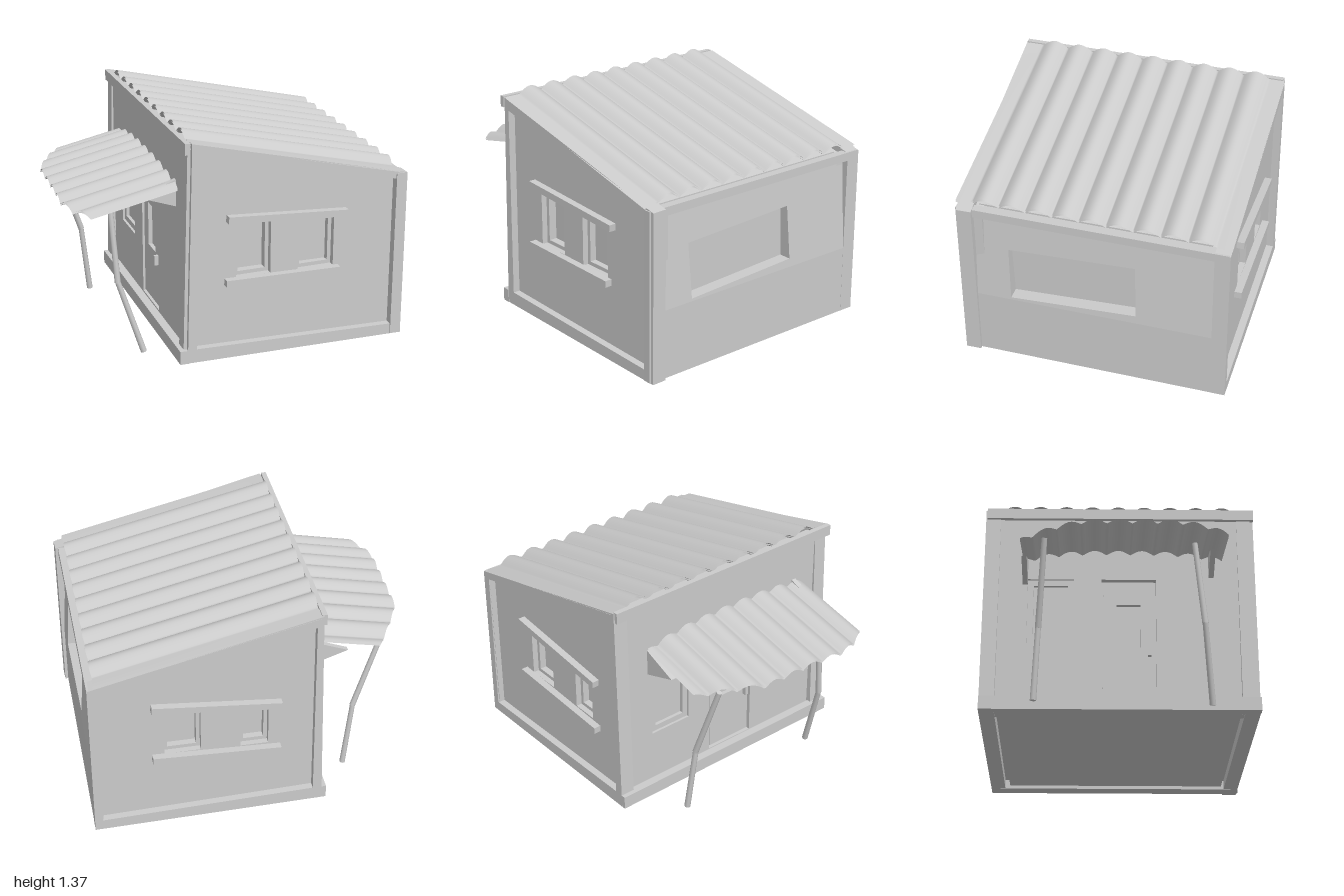
import * as THREE from 'three';

const mat = new THREE.MeshStandardMaterial({ color: 0xcccccc });
const sheetMat = new THREE.MeshStandardMaterial({ color: 0xcccccc, side: THREE.DoubleSide });

export function createModel() {
  const root = new THREE.Group();
  const house = new THREE.Group();
  house.name = 'house';
  house.position.x = 0.26;
  house.rotation.y = -0.07;
  root.add(house);

  const add = (name, geo, material = mat) => {
    const m = new THREE.Mesh(geo, material);
    m.name = name;
    house.add(m);
    return m;
  };
  const toPath = (pts, Type) => new Type(pts.map(p => new THREE.Vector2(...p)));
  const slab = (pts, depth, holes = []) => {
    const s = toPath(pts, THREE.Shape);
    s.holes = holes.map(h => toPath(h, THREE.Path));
    return new THREE.ExtrudeGeometry(s, { depth, bevelEnabled: false });
  };
  // slab in the x-y plane, from z to z + depth
  const frontSlab = (name, pts, z, depth, holes) =>
    add(name, slab(pts, depth, holes).translate(0, 0, z));
  // slab in the z-y plane, from x down to x - depth
  const sideSlab = (name, pts, x, depth, holes) =>
    add(name, slab(pts, depth, holes).rotateY(-Math.PI / 2).translate(x, 0, 0));
  const box = (name, w, h, d, x, y, z) =>
    add(name, new THREE.BoxGeometry(w, h, d).translate(x, y, z));
  // shrink (or grow) a four-cornered outline about its middle
  const inset = (q, d) => {
    const cx = q.reduce((a, p) => a + p[0], 0) / 4, cy = q.reduce((a, p) => a + p[1], 0) / 4;
    return q.map(([x, y]) => [x - Math.sign(x - cx) * d, y - Math.sign(y - cy) * d]);
  };

  // Solid core, closing the window recesses and the floor
  frontSlab('core', [[-0.6, 0.045], [0.59, 0.03], [0.59, 1.01], [-0.6, 1.3]], -0.67, 1.34);

  // Front and back walls: raised frame, recessed panel, windows, shutter rails
  const outer = [[-0.67, 0.035], [0.67, 0.01], [0.67, 1.015], [-0.64, 1.335]];
  const inner = [[-0.615, 0.115], [0.625, 0.075], [0.62, 0.98], [-0.605, 1.265]];
  const ends = [
    {
      s: 1, turn: 0.025,
      windows: [[[-0.365, 0.5], [-0.155, 0.5], [-0.155, 0.83], [-0.365, 0.84]],
        [[0.015, 0.49], [0.235, 0.49], [0.235, 0.79], [0.015, 0.8]]],
      rails: [[-0.425, 0.865, 0.305, 0.815], [-0.435, 0.485, 0.265, 0.47]],
    },
    {
      s: -1, turn: 0,
      windows: [[[-0.35, 0.47], [-0.19, 0.47], [-0.19, 0.75], [-0.35, 0.74]],
        [[0.04, 0.48], [0.25, 0.48], [0.25, 0.79], [0.04, 0.77]]],
      rails: [[-0.42, 0.755, 0.32, 0.825], [-0.42, 0.435, 0.32, 0.465]],
    },
  ];
  for (const { s, turn, windows, rails } of ends) {
    const side = s > 0 ? 'front' : 'back';
    const end = new THREE.Group();
    end.name = side + 'Wall';
    end.rotation.y = turn;
    house.add(end);
    const z = (a, b) => Math.min(s * a, s * b);
    end.add(
      frontSlab(side + 'Frame', outer, z(0.7, 0.788), 0.088, [inner]),
      frontSlab(side + 'Panel', inset(inner, -0.01), z(0.65, 0.745), 0.095, windows));
    for (const w of windows)
      end.add(frontSlab(side + 'WindowRim', w, z(0.66, 0.71), 0.05, [inset(w, 0.022)]));
    for (const [x0, y0, x1, y1] of rails) {
      const r = box(side + 'Rail', Math.hypot(x1 - x0, y1 - y0), 0.04, 0.05, 0, 0, 0);
      r.position.set((x0 + x1) / 2, (y0 + y1) / 2, s * 0.763);
      r.rotation.z = Math.atan2(y1 - y0, x1 - x0);
      end.add(r);
    }
  }

  // Right-hand long wall: upright below, leaning inwards above, with a wide opening
  const hatch = [[-0.26, 0.47], [0.48, 0.435], [0.49, 0.76], [-0.25, 0.79]];
  sideSlab('longWallBase', [[-0.73, 0.01], [0.73, 0.01], [0.73, 0.42], [-0.73, 0.42]], 0.669, 0.09);
  const upper = sideSlab('longWallUpper',
    [[-0.73, 0.42], [0.73, 0.42], [0.73, 1.0], [-0.73, 1.0]], 0.669, 0.09, [hatch]);
  const p = upper.geometry.attributes.position;
  for (let i = 0; i < p.count; i++) p.setX(i, p.getX(i) - 0.075 * (p.getY(i) - 0.42));
  upper.geometry.computeVertexNormals();
  for (const s of [-1, 1]) box('longWallPost', 0.05, 0.99, 0.075, 0.645, 0.51, s * 0.7425);
  box('longWallBeam', 0.05, 0.05, 1.56, 0.645, 0.993, 0);

  // Entrance wall: posts, top beam, foot board, window and door
  const windowHole = [[-0.53, 0.42], [-0.26, 0.42], [-0.26, 0.88], [-0.53, 0.88]];
  const doorHole = [[-0.1, 0.11], [0.22, 0.11], [0.22, 0.88], [-0.1, 0.88]];
  sideSlab('entranceWall', [[-0.72, 0.04], [0.72, 0.04], [0.72, 1.3], [-0.72, 1.3]],
    -0.56, 0.075, [windowHole, doorHole]);
  sideSlab('entranceWindowRim', windowHole, -0.59, 0.03, [inset(windowHole, 0.035)]);
  const doorLight = [[-0.01, 0.45], [0.13, 0.45], [0.13, 0.72], [-0.01, 0.72]];
  sideSlab('door', inset(doorHole, 0.012), -0.585, 0.04, [doorLight]);
  box('doorHandle', 0.03, 0.06, 0.02, -0.635, 0.42, 0.18);
  for (const s of [-1, 1])
    frontSlab('entrancePost', [[-0.67, 0.035], [-0.62, 0.035], [-0.615, 1.3], [-0.64, 1.32]],
      s * 0.743 - 0.04, 0.08);
  box('topBeam', 0.03, 0.065, 1.585, -0.645, 1.307, 0.012);
  box('footBoard', 0.05, 0.08, 1.595, -0.67, 0.075, 0.01);

  // Corrugated sheets: a plane in (u, z) shaped by a rule
  const sheet = (name, depth, segs, rule) => {
    const g = new THREE.PlaneGeometry(1, depth, 4, segs).rotateX(-Math.PI / 2);
    const a = g.attributes.position;
    for (let i = 0; i < a.count; i++) {
      const z = a.getZ(i);
      const [x, y, zz = z] = rule(a.getX(i) + 0.5, z);
      a.setXYZ(i, x, y, zz);
    }
    g.computeVertexNormals();
    return add(name, g, sheetMat);
  };
  // rounded crests meeting in sharp valleys
  const wave = (z, pitch) => Math.abs(Math.cos(Math.PI * z / pitch));
  for (const lift of [0, 0.012])
    sheet('roof', 1.58, 204, (u, z) => {
      const ripple = Math.abs(z) < 0.698 ? 0.038 * wave(z, 0.155) : 0;
      const x = THREE.MathUtils.lerp(-0.625, 0.625 + 0.012 * wave(z, 0.155), u);
      return [x, 1.335 - 0.295 * u + ripple + lift - 0.012];
    });

  // Awning with a bowed outer edge and sagging ends
  const edge = [[-0.56, -1.04], [-0.35, -1.16], [-0.2, -1.23], [0.09, -1.235],
    [0.36, -1.245], [0.49, -1.21], [0.61, -1.14]];
  const edgeX = z => {
    const i = Math.min(edge.length - 2, Math.max(0, edge.findIndex(e => e[0] >= z) - 1));
    const [a, b] = [edge[i], edge[i + 1]];
    return THREE.MathUtils.mapLinear(z, a[0], b[0], a[1], b[1]);
  };
  for (const lift of [0, 0.01])
    sheet('awning', 1.17, 128, (u, z0) => {
      const z = THREE.MathUtils.clamp(z0 + 0.025, -0.56, 0.61);
      const x = THREE.MathUtils.lerp(edgeX(z), -0.64, u);
      const sag = (z < 0 ? 0.075 : 0.045) * Math.abs(z / 0.6) ** 3;
      return [x, 1.035 + 0.215 * (x + 0.66) + 0.03 * wave(z, 0.14) + lift - sag, z];
    });
  for (const [z, y] of [[-0.56, 0], [0.53, 0.05]])
    frontSlab('awningBracket', [[-0.85, 0.92 + y], [-0.62, 0.84 + y], [-0.62, 1.01 + y]], z, 0.03);

  // Bent awning poles
  const poles = [
    [[-1.09, 0.9, -0.42], [-0.93, 0.43, -0.45], [-0.88, 0.015, -0.47]],
    [[-0.985, 0.93, 0.43], [-0.96, 0.45, 0.48], [-0.825, 0.015, 0.52]],
  ];
  const up = new THREE.Vector3(0, 1, 0);
  for (const pole of poles) {
    const pts = pole.map(q => new THREE.Vector3(...q));
    for (let i = 0; i < 2; i++) {
      const d = pts[i].clone().sub(pts[i + 1]);
      const m = add('awningPole', new THREE.CylinderGeometry(0.016, 0.018, d.length() + 0.01, 8));
      m.position.copy(pts[i]).add(pts[i + 1]).multiplyScalar(0.5);
      m.quaternion.setFromUnitVectors(up, d.normalize());
    }
  }
  return root;
}
